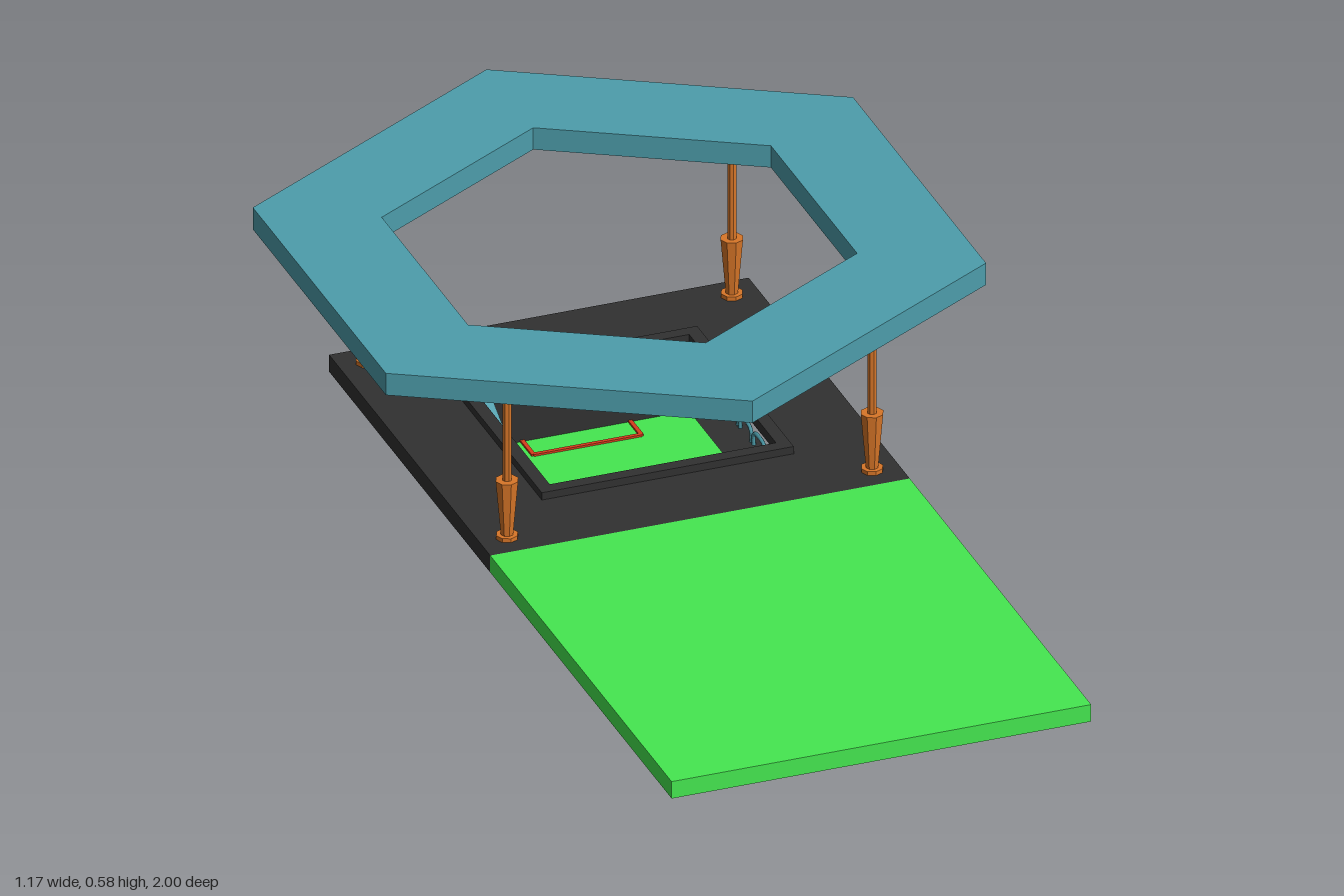
import * as THREE from 'three';

const material = (name, color) => Object.assign(new THREE.MeshStandardMaterial({ color }), { name });
const CZ = -0.327; // centre of the pit along z

export function createModel() {
  const root = new THREE.Group();
  root.name = 'sunkenCourtPavilion';
  const teal = material('teal', 0x4d9dab);
  const green = material('grassGreen', 0x46e951);
  const dark = material('charcoal', 0x313131);
  const copper = material('copper', 0xd87628);
  const red = material('lineRed', 0xd83c1c);
  dark.side = THREE.DoubleSide;

  const add = (name, geometry, mat, x = 0, y = 0, z = 0, parent = root) => {
    const mesh = new THREE.Mesh(geometry, mat);
    mesh.name = name;
    mesh.position.set(x, y, z);
    parent.add(mesh);
    return mesh;
  };
  // box given by its limits
  const box = (name, mat, x0, x1, y0, y1, z0, z1, parent = root) =>
    add(name, new THREE.BoxGeometry(x1 - x0, y1 - y0, z1 - z0), mat,
      (x0 + x1) / 2, (y0 + y1) / 2, (z0 + z1) / 2, parent);
  // flat outline with a hole, extruded upwards
  const polygon = (r, n, turn) => Array.from({ length: n }, (_, i) => {
    const a = turn + (i * 2 * Math.PI) / n;
    return new THREE.Vector2(r * Math.cos(a), r * Math.sin(a));
  });
  const frame = (name, mat, outer, inner, n, turn, y, height) => {
    const shape = new THREE.Shape(polygon(outer, n, turn));
    shape.holes.push(new THREE.Path(polygon(inner, n, turn)));
    const geometry = new THREE.ExtrudeGeometry(shape, { depth: height, bevelEnabled: false });
    return add(name, geometry.rotateX(-Math.PI / 2), mat, 0, y, CZ);
  };

  // entrance lawn and hexagonal roof ring
  box('lawnSlab', green, -0.408, 0.408, 0.175, 0.21, 0.081, 1);
  frame('roofRing', teal, 0.674, 0.437, 6, Math.PI / 2, 0.54, 0.045);

  // pit body: sloped hull with one window through the +x side
  const pts = [];
  const quad = (a, b, c, d) => pts.push(...a, ...b, ...c, ...a, ...c, ...d);
  const half = (y) => (y >= 0.175 ? 0.408 : 0.28 + (y - 0.045) * 0.985);
  const w0 = -0.203, w1 = 0.207, wy0 = 0.065, wy1 = 0.205, inner = 0.22, lip = 0.225;
  // strip of the +x side between two heights
  const strip = (y0, y1, zA, zB) => quad(
    [half(y0), y0, zA(y0)], [half(y1), y1, zA(y1)], [half(y1), y1, zB(y1)], [half(y0), y0, zB(y0)]);
  const back = (y) => -half(y), front = (y) => half(y);
  strip(0.045, wy0, front, back);
  strip(wy1, 0.21, front, back);
  for (const [y0, y1] of [[wy0, 0.175], [0.175, wy1]]) {
    strip(y0, y1, front, () => w1);
    strip(y0, y1, () => w0, back);
    // cheeks of the window passage
    for (const w of [w0, w1]) {
      quad([inner, y0, w], [half(y0), y0, w], [half(y1), y1, w], [inner, y1, w]);
    }
  }
  for (const y of [wy0, wy1]) {
    quad([inner, y, w0], [half(y), y, w0], [half(y), y, w1], [inner, y, w1]);
  }
  // the three closed sides
  for (const [y0, y1] of [[0.045, 0.175], [0.175, 0.21]]) {
    const a = half(y0), b = half(y1);
    quad([-a, y0, -a], [-a, y0, a], [-b, y1, b], [-b, y1, -b]);
    quad([-a, y0, a], [a, y0, a], [b, y1, b], [-b, y1, b]);
    quad([a, y0, -a], [-a, y0, -a], [-b, y1, -b], [b, y1, -b]);
  }
  // hull bottom
  quad([-0.28, 0.045, -0.28], [0.28, 0.045, -0.28], [0.28, 0.045, 0.28], [-0.28, 0.045, 0.28]);
  // inner walls, open where the window comes through
  const i = inner;
  quad([-i, wy0, i], [-i, wy0, -i], [-i, lip, -i], [-i, lip, i]);
  quad([i, wy0, i], [-i, wy0, i], [-i, lip, i], [i, lip, i]);
  quad([-i, wy0, -i], [i, wy0, -i], [i, lip, -i], [-i, lip, -i]);
  quad([i, wy0, -i], [i, wy0, w0], [i, wy1, w0], [i, wy1, -i]);
  quad([i, wy0, w1], [i, wy0, i], [i, wy1, i], [i, wy1, w1]);
  quad([i, wy1, -i], [i, wy1, i], [i, lip, i], [i, lip, -i]);
  const hull = new THREE.BufferGeometry();
  hull.setAttribute('position', new THREE.Float32BufferAttribute(pts, 3));
  hull.computeVertexNormals();
  add('pitHull', hull, dark, 0, 0, CZ);

  const deck = new THREE.Shape(polygon(0.408 * Math.SQRT2, 4, Math.PI / 4));
  deck.holes.push(new THREE.Path(polygon(inner * Math.SQRT2, 4, Math.PI / 4)));
  add('deck', new THREE.ShapeGeometry(deck).rotateX(-Math.PI / 2), dark, 0, 0.21, CZ);
  frame('pitRim', dark, 0.245 * Math.SQRT2, inner * Math.SQRT2, 4, Math.PI / 4, 0.21, 0.015);
  box('foundation', dark, -0.245, 0.245, 0, 0.045, CZ - 0.245, CZ + 0.245);

  // sunken court with goal lines
  box('courtFloor', green, -inner, inner, 0.055, 0.067, CZ - inner, CZ + inner);
  const lines = new THREE.Group();
  lines.name = 'goalLines';
  root.add(lines);
  for (const s of [-1, 1]) {
    box('goalSideLine', red, s * 0.105 - 0.004, s * 0.105 + 0.004, 0.066, 0.071, -0.546, -0.488, lines);
  }
  box('goalFrontLine', red, -0.105, 0.105, 0.066, 0.071, -0.494, -0.486, lines);

  // smooth ramp along the -x wall, rising towards the back
  const wedge = new THREE.Shape([[0, 0], [0.273, 0], [0.273, 0.144]].map(([x, y]) => new THREE.Vector2(x, y)));
  const ramp = add('ramp', new THREE.ExtrudeGeometry(wedge, { depth: 0.041, bevelEnabled: false }),
    teal, -0.219, 0.066, -0.273);
  ramp.rotation.y = Math.PI / 2;

  // pair of low seats
  for (const x of [0.087, 0.13]) {
    box('seatBlock', teal, x, x + 0.042, 0.066, 0.092, -0.195, -0.152);
  }

  // row of small hoops standing in the window passage
  const hoopPath = new THREE.CatmullRomCurve3([[-0.028, 0], [-0.028, 0.02], [-0.018, 0.028],
    [0.018, 0.028], [0.028, 0.02], [0.028, 0]].map(([z, y]) => new THREE.Vector3(0, y, z)));
  const hoop = new THREE.TubeGeometry(hoopPath, 12, 0.004, 5);
  for (let k = 0; k < 6; k++) add('windowHoop', hoop, teal, 0.285, 0.065, -0.157 - k * 0.068);

  // four posts carrying the ring
  const postParts = [ // name, lower radius, upper radius, bottom, top
    ['postFoot', 0.021, 0.021, 0.208, 0.218],
    ['postTaper', 0.012, 0.022, 0.218, 0.33],
    ['postRod', 0.009, 0.009, 0.33, 0.526],
    ['postCap', 0.027, 0.027, 0.526, 0.541],
  ];
  for (const x of [-0.355, 0.355]) {
    for (const z of [CZ - 0.355, CZ + 0.355]) {
      const post = new THREE.Group();
      post.name = 'post';
      post.position.set(x, 0, z);
      root.add(post);
      for (const [name, r0, r1, y0, y1] of postParts) {
        const geometry = new THREE.CylinderGeometry(r1, r0, y1 - y0, 8).toNonIndexed();
        geometry.computeVertexNormals();
        add(name, geometry, copper, 0, (y0 + y1) / 2, 0, post);
      }
    }
  }
  return root;
}
